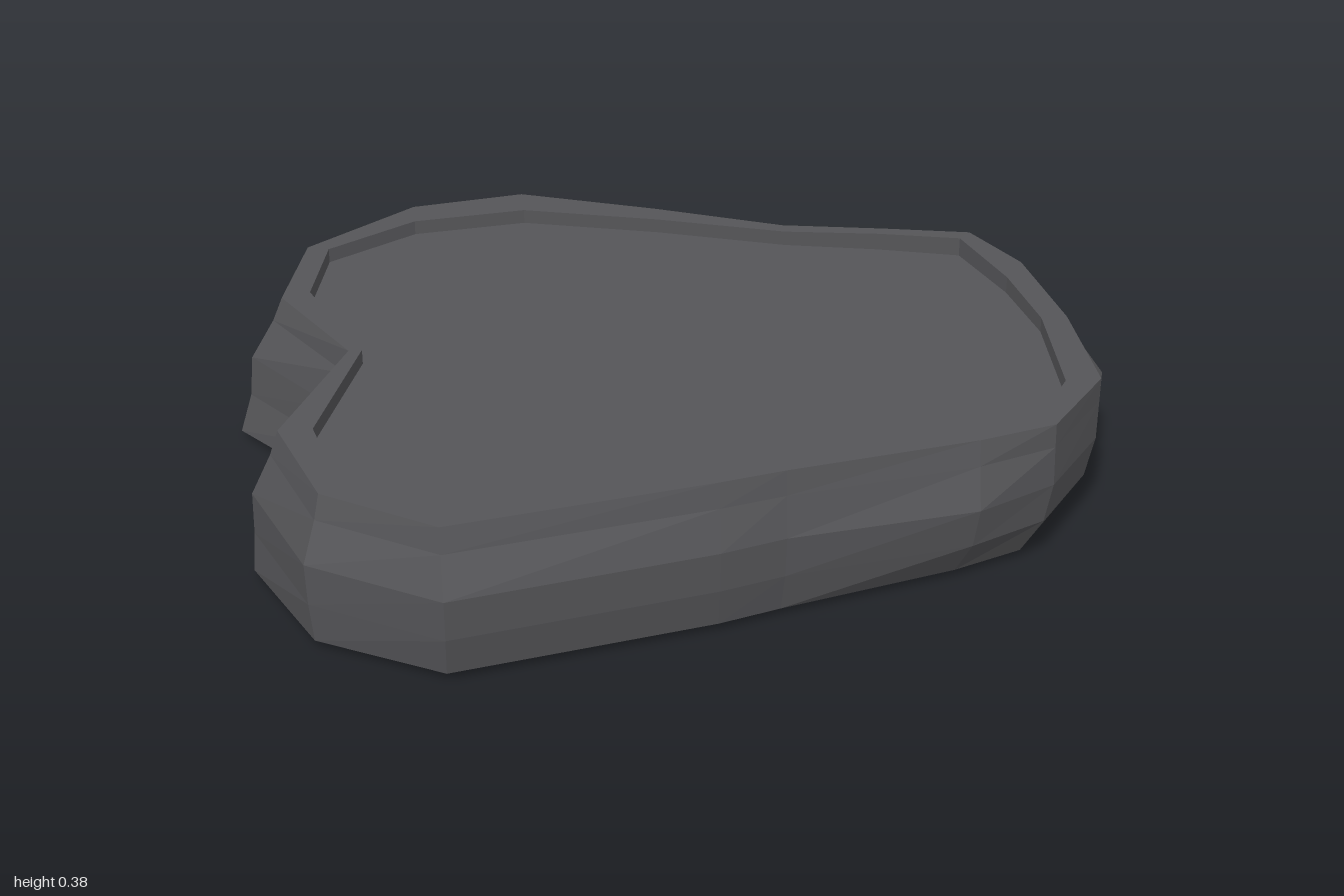
import * as THREE from 'three';

// Outlines as x, z pairs, starting at the notch and running round the back, left and front
const base = [-0.78, 0.03, -1, -0.24, -0.87, -0.58, -0.56, -0.79, -0.29, -0.83, 0.03, -0.7, 0.33, -0.57,
  0.57, -0.49, 0.75, -0.42, 0.85, -0.22, 0.91, 0.04, 0.84, 0.32, 0.72, 0.48, 0.56, 0.54, 0.16, 0.64,
  0.02, 0.68, -0.56, 0.79, -0.83, 0.64, -0.96, 0.36];
const belly = [-0.76, 0.03, -0.96, -0.24, -0.87, -0.56, -0.56, -0.76, -0.29, -0.785, 0.03, -0.665, 0.33, -0.555,
  0.57, -0.51, 0.75, -0.45, 0.9, -0.22, 1, 0.065, 0.91, 0.35, 0.77, 0.53, 0.59, 0.615, 0.165, 0.67,
  0.02, 0.71, -0.56, 0.82, -0.84, 0.65, -0.95, 0.36];
const brim = [-0.73, 0.03, -0.88, -0.24, -0.82, -0.49, -0.56, -0.68, -0.29, -0.72, 0.03, -0.6, 0.33, -0.47,
  0.57, -0.41, 0.77, -0.36, 0.86, -0.2, 0.905, 0.065, 0.91, 0.35, 0.765, 0.53, 0.59, 0.575, 0.165, 0.645,
  0.02, 0.675, -0.56, 0.775, -0.8, 0.62, -0.885, 0.36];
const recess = [-0.7, 0.03, -0.815, -0.26, -0.77, -0.475, -0.56, -0.6, -0.29, -0.63, 0.03, -0.54, 0.33, -0.435,
  0.55, -0.385, 0.74, -0.33, 0.81, -0.13, 0.845, 0.065, 0.83, 0.35, 0.725, 0.515, 0.55, 0.55, 0.165, 0.605,
  0.02, 0.635, -0.56, 0.705, -0.755, 0.605, -0.81, 0.36];

const mix = (a, b, t) => a.map((v, i) => v + (b[i] - v) * t);

// Lift an outline to a height; tilt(x, z) adds a small local offset
function ring(outline, y, tilt = () => 0) {
  const points = [];
  for (let i = 0; i < outline.length; i += 2) {
    const [x, z] = [outline[i], outline[i + 1]];
    points.push(new THREE.Vector3(x, y + tilt(x, z), z));
  }
  return points;
}

function toGeometry(points) {
  const geometry = new THREE.BufferGeometry().setFromPoints(points);
  geometry.computeVertexNormals();
  return geometry;
}

// Skin a stack of rings with quads
function loft(rings) {
  const out = [];
  for (let k = 0; k < rings.length - 1; k++) {
    const [low, high] = [rings[k], rings[k + 1]];
    low.forEach((a, i) => {
      const j = (i + 1) % low.length;
      out.push(a, high[i], low[j], low[j], high[i], high[j]);
    });
  }
  return toGeometry(out);
}

// Fill a ring, facing up or down
function cap(points, up) {
  const flat = points.map((p) => new THREE.Vector2(p.x, p.z));
  const out = [];
  for (const [a, b, c] of THREE.ShapeUtils.triangulateShape(flat, [])) {
    const facesDown = THREE.ShapeUtils.area([flat[a], flat[b], flat[c]]) > 0;
    const order = facesDown === up ? [a, c, b] : [a, b, c];
    out.push(...order.map((i) => points[i]));
  }
  return toGeometry(out);
}

export function createModel() {
  const group = new THREE.Group();
  group.name = 'heartDish';
  const charcoal = new THREE.MeshStandardMaterial({ color: 0x555558 });
  charcoal.name = 'charcoal';
  charcoal.flatShading = true;

  const add = (name, geometry) => {
    const mesh = new THREE.Mesh(geometry, charcoal);
    mesh.name = name;
    group.add(mesh);
  };

  // The base sags and the brim rises a little at the back left
  const near = (x, z) => Math.max(0, 1 - Math.hypot(x - 0.72, z + 0.35) / 0.45);
  const bottom = ring(base, 0.022, (x, z) => -0.026 * near(x, z));
  const top = ring(brim, 0.373, (x, z) => 0.012 * near(x, z));
  const inner = ring(recess, 0.373, (x, z) => 0.012 * near(x, z));
  const floor = ring(recess, 0.338);

  add('outerWall', loft([
    bottom,
    ring(mix(base, belly, 0.75), 0.12),
    ring(belly, 0.22),
    ring(mix(belly, brim, 0.7), 0.315),
    top,
  ]));
  add('rim', loft([top, inner]));
  add('innerWall', loft([inner, floor]));
  add('floor', cap(floor, true));
  add('underside', cap(bottom, false));
  return group;
}
